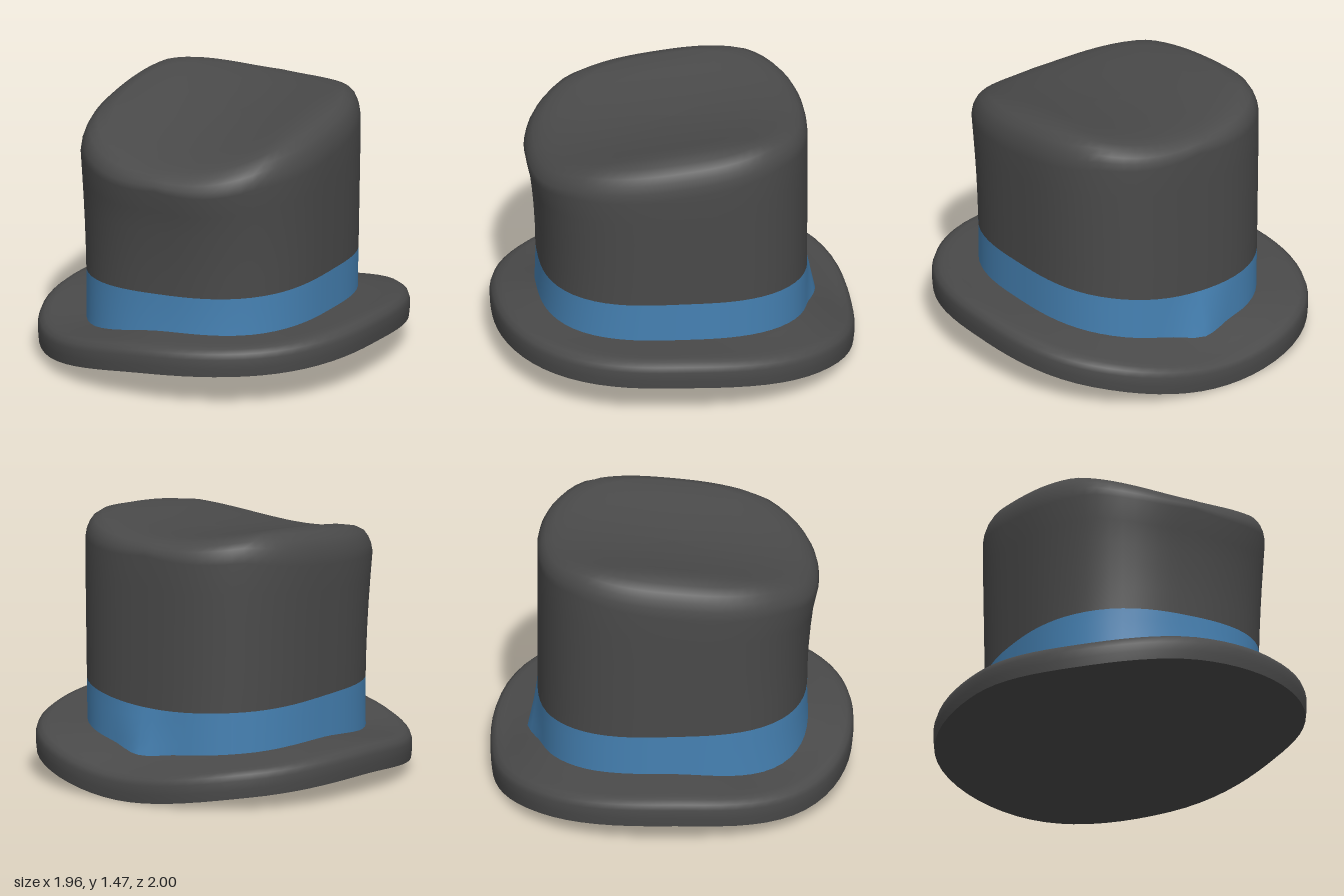
import * as THREE from 'three';

const SEG = 72;

// Smooth closed curve through eight heights, 45 degrees apart, from the front round by +x
function around(h) {
  return (a) => {
    const u = ((a / (Math.PI * 2)) * 8 + 8) % 8;
    const i = Math.floor(u), t = u - i;
    const [p, q, r, s] = [-1, 0, 1, 2].map((k) => h[(i + k + 8) % 8]);
    return 0.5 * (2 * q + (r - p) * t + (2 * p - 5 * q + 4 * r - s) * t * t + (3 * q - p - 3 * r + s) * t * t * t);
  };
}
const rimBottom = around([0.16, 0.19, 0.2, 0.12, 0.0, 0.07, 0.105, 0.065]);
const brimInner = around([0.33, 0.34, 0.34, 0.31, 0.25, 0.26, 0.275, 0.235]);
const bandTop = around([0.54, 0.56, 0.57, 0.54, 0.48, 0.49, 0.51, 0.515]);

// Rounded-square outline, in polar form
function outline(a, rx, rz, n) {
  const s = Math.sin(a), c = Math.cos(a);
  const r = Math.pow(Math.pow(Math.abs(s / rx), n) + Math.pow(Math.abs(c / rz), n), -1 / n);
  return [s * r, c * r];
}

function brimPoint(a, s, y) {
  const [x, z] = outline(a, 0.98, 1.0, 2.35 - 0.15 * Math.cos(a));
  return [x * s, y, z * s];
}

// Crown wall leans outward at the front as it rises
function crownPoint(a, y) {
  const f = Math.min(1, (y - 0.5) / 0.7);
  const front = 0.745 + 0.065 * f * f;
  const [x, z] = outline(a, 0.69 + 0.015 * f, Math.cos(a) > 0 ? front : 0.742, 2.6);
  return [x, y, z];
}

// Saddle-shaped top of the crown
function topPoint(a, s, drop) {
  const [ex, , ez] = crownPoint(a, 1.2);
  const x = ex * s, z = ez * s;
  const dip = 0.27 * Math.min(Math.abs(x), 0.55) ** 2;
  const y = 1.37 - 0.11 * z - 0.03 * z * z + dip - drop * (0.5 + 0.5 * Math.abs(Math.sin(a)));
  return [x, y, z];
}

// Skin a list of rings, each a function of the angle
function loft(name, rings, material) {
  const pos = [], idx = [];
  rings.forEach((ring, i) => {
    for (let j = 0; j < SEG; j++) {
      pos.push(...ring((j / SEG) * Math.PI * 2));
      if (i === rings.length - 1) continue;
      const k = (j + 1) % SEG;
      const a = i * SEG + j, b = i * SEG + k, c = a + SEG, d = b + SEG;
      idx.push(a, b, d, a, d, c);
    }
  });
  const geo = new THREE.BufferGeometry();
  geo.setAttribute('position', new THREE.Float32BufferAttribute(pos, 3));
  geo.setIndex(idx);
  geo.computeVertexNormals();
  const mesh = new THREE.Mesh(geo, material);
  mesh.name = name;
  return mesh;
}

export function createModel() {
  const felt = new THREE.MeshStandardMaterial({ color: 0x4a4a4a });
  felt.name = 'charcoal felt';
  const ribbon = new THREE.MeshStandardMaterial({ color: 0x4682b4 });
  ribbon.name = 'blue ribbon';
  const hat = new THREE.Group();
  hat.name = 'hat';

  // Closed underside, meeting the rim at a sharp edge
  const under = [0, 0.25, 0.5, 0.75, 0.9, 1].map((s) => (a) =>
    brimPoint(a, s * 0.995, 0.11 + (rimBottom(a) - 0.11) * Math.pow(s, 1.5)));
  hat.add(loft('brimUnderside', under, felt));

  // Rim wall with a rounded upper edge: [scale, height above the rim bottom]
  const rim = [[0.995, 0], [1, 0.05], [1, 0.1], [0.99, 0.13], [0.965, 0.15], [0.93, 0.157]]
    .map(([s, h]) => (a) => brimPoint(a, s, rimBottom(a) + h));
  const brimTop = [0.25, 0.5, 0.75, 1, 1.2].map((t) => (a) => {
    const outer = rimBottom(a) + 0.157;
    const k = Math.min(t, 1);
    return brimPoint(a, 0.93 - 0.22 * t, outer + (brimInner(a) - outer) * k);
  });
  hat.add(loft('brim', [...rim, ...brimTop], felt));

  // Hat band, drawn out to a small point at the lower back
  const band = [0, 0.25, 0.5, 0.75, 1].map((t) => (a) => {
    const low = brimInner(a) - 0.03;
    const p = crownPoint(a, low + (bandTop(a) - low) * t);
    if (p[2] < 0) p[2] -= 0.055 * Math.max(0, 1 - Math.abs(p[0]) / 0.22) * (1 - t);
    return p;
  });
  hat.add(loft('hatBand', band, ribbon));

  // Crown wall, rounded shoulder and saddle top
  const wall = [0, 0.2, 0.4, 0.6, 0.8].map((t) => (a) => {
    const low = bandTop(a), high = topPoint(a, 1, 0.2)[1];
    return crownPoint(a, low + (high - low) * t);
  });
  const top = [[1, 0.2], [0.99, 0.145], [0.97, 0.1], [0.94, 0.06], [0.88, 0.025], [0.78, 0.005],
    [0.6, 0], [0.4, 0], [0.2, 0], [0, 0]].map(([s, d]) => (a) => topPoint(a, s, d));
  hat.add(loft('crown', [...wall, ...top], felt));

  return hat;
}
